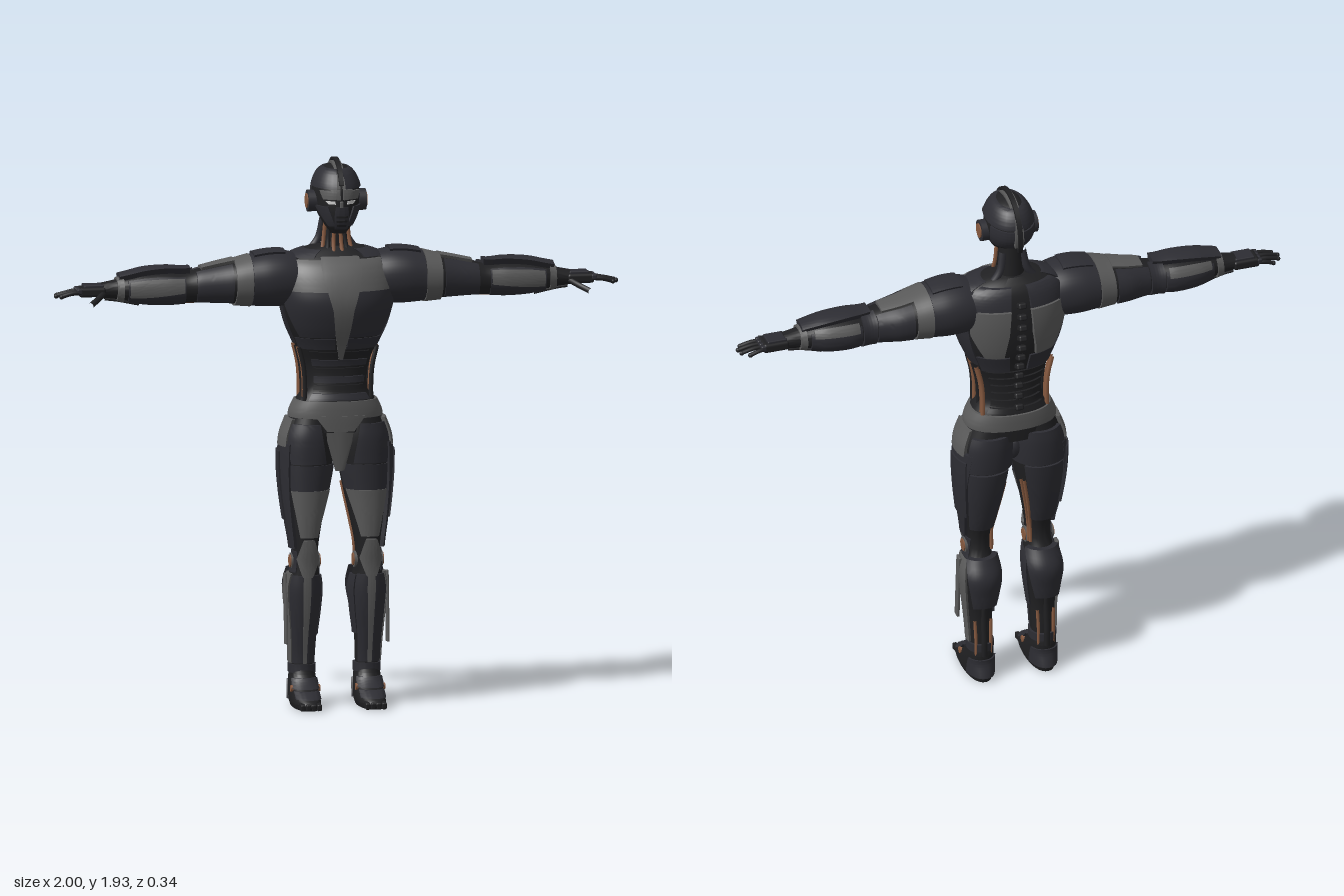
import * as THREE from 'three';
import { toCreasedNormals } from 'three/addons/utils/BufferGeometryUtils.js';
import { RoundedBoxGeometry } from 'three/addons/geometries/RoundedBoxGeometry.js';

const V = (x, y, z) => new THREE.Vector3(x, y, z);
const material = (name, color) => Object.assign(new THREE.MeshStandardMaterial({ color }), { name });

// Cross-sections: [position on axis, centre a, centre z, radius a, radius z]
const TORSO = { axis: 'y', n: 2.3, s: [
  [0.97, 0, -.005, .15, .1], [1.03, 0, -.005, .158, .102], [1.08, 0, -.005, .138, .1], [1.12, 0, -.005, .112, .09],
  [1.2, 0, -.005, .116, .088], [1.27, 0, 0, .142, .105], [1.35, 0, .006, .176, .132], [1.43, 0, .01, .195, .146],
  [1.5, 0, .004, .198, .139], [1.56, 0, -.006, .185, .118], [1.595, 0, -.018, .15, .088], [1.62, 0, -.02, .075, .055]] };
const ARM = { axis: 'x', n: 2.2, s: [
  [.1, 1.5, 0, .08, .09], [.18, 1.508, 0, .092, .106], [.24, 1.508, 0, .093, .11], [.3, 1.505, 0, .086, .104],
  [.36, 1.5, 0, .076, .096], [.42, 1.495, -.003, .068, .086], [.48, 1.49, 0, .06, .072], [.53, 1.485, 0, .054, .064],
  [.6, 1.485, -.005, .058, .07], [.68, 1.485, -.005, .054, .063], [.74, 1.485, 0, .042, .048],
  [.78, 1.485, 0, .034, .038], [.83, 1.483, 0, .026, .034]] };
const LEG = { axis: 'y', n: 2.2, s: [
  [.1, .115, -.022, .04, .045], [.16, .115, -.022, .041, .046], [.25, .115, -.012, .046, .052], [.34, .114, -.01, .056, .068],
  [.42, .114, -.008, .061, .077], [.5, .112, .015, .045, .058], [.56, .111, .02, .044, .06], [.65, .11, .01, .058, .076],
  [.75, .106, 0, .075, .09], [.85, .1, -.005, .088, .1], [.95, .094, -.005, .09, .104], [1.02, .085, -.005, .075, .095]] };
const HEAD = { axis: 'y', n: 2.1, s: [
  [1.672, 0, .06, .026, .03], [1.7, 0, .05, .048, .058], [1.735, 0, .026, .066, .092], [1.78, 0, .008, .08, .112],
  [1.83, 0, .003, .08, .113], [1.87, 0, 0, .066, .096], [1.895, 0, 0, .045, .07], [1.907, 0, 0, .015, .03]] };
const FOOT = { axis: 'y', n: 2.3, s: [
  [0, .115, .035, .044, .122], [.018, .115, .035, .05, .129], [.036, .115, .026, .051, .115], [.07, .115, 0, .05, .078],
  [.1, .115, -.018, .047, .06], [.14, .115, -.022, .042, .048]] };

// Smooth interpolation of a body's cross-section at position t
function section({ s }, t) {
  let i = 0;
  while (i < s.length - 2 && t > s[i + 1][0]) i++;
  const a = s[i], b = s[i + 1], h = b[0] - a[0], u = (t - a[0]) / h;
  const slope = (j, k) => {
    const p = s[Math.max(j - 1, 0)], q = s[Math.min(j + 1, s.length - 1)];
    return (q[k] - p[k]) / (q[0] - p[0]) * h;
  };
  return [1, 2, 3, 4].map(k => a[k] * (1 + 2 * u) * (1 - u) ** 2 + slope(i, k) * u * (1 - u) ** 2
    + b[k] * u * u * (3 - 2 * u) + slope(i + 1, k) * u * u * (u - 1));
}

// Point on a body. Angles on y bodies: 0 left, 90 front. On x bodies: 0 front, 90 top.
function surf(body, t, deg, off = 0, scale = 1) {
  const [c, cz, r, rz] = section(body, t), a = deg * Math.PI / 180;
  const p = v => Math.sign(v) * Math.abs(v) ** (2 / body.n);
  const co = p(Math.cos(a)) * scale, si = p(Math.sin(a)) * scale;
  return body.axis === 'y' ? V(c + (r + off) * co, t, cz + (rz + off) * si) : V(t, c + (r + off) * si, cz + (rz + off) * co);
}

function grid(rows, cols, point) {
  const pos = [], idx = [];
  for (let j = 0; j < rows; j++) for (let i = 0; i < cols; i++) {
    pos.push(...point(i, j).toArray());
    if (i < cols - 1 && j < rows - 1) {
      const k = j * cols + i;
      idx.push(k, k + cols, k + 1, k + 1, k + cols, k + cols + 1);
    }
  }
  const g = new THREE.BufferGeometry();
  g.setAttribute('position', new THREE.Float32BufferAttribute(pos, 3));
  g.setIndex(idx);
  return toCreasedNormals(g, 0.6);
}

// Closed body or band between two positions
function limb(body, t0 = body.s[0][0], t1 = body.s.at(-1)[0], off = 0, rows = 40) {
  return grid(rows + 3, 41, (i, j) => {
    const v = THREE.MathUtils.clamp((j - 1) / rows, 0, 1);
    return surf(body, t0 + (t1 - t0) * v, i * 9, off, j === 0 || j === rows + 2 ? 0 : 1);
  });
}

// Raised armour panel; each angle may be a list spread from start to end
function plate(body, t0, t1, a0, a1, off = .008) {
  const n = 14;
  const at = (a, v) => {
    if (!Array.isArray(a)) return a;
    const k = Math.min(Math.floor(v * (a.length - 1)), a.length - 2);
    return a[k] + (a[k + 1] - a[k]) * (v * (a.length - 1) - k);
  };
  return grid(n + 3, n + 3, (i, j) => {
    const f = k => THREE.MathUtils.clamp((k - 1) / n, 0, 1), v = f(j);
    const edge = i === 0 || j === 0 || i === n + 2 || j === n + 2;
    return surf(body, t0 + (t1 - t0) * v, at(a0, v) + (at(a1, v) - at(a0, v)) * f(i), edge ? -.004 : off);
  });
}

const tube = (pts, r) => new THREE.TubeGeometry(new THREE.CatmullRomCurve3(pts), 16, r, 8);
const line = (body, t0, t1, deg, off, r) =>
  tube([0, .25, .5, .75, 1].map(u => surf(body, t0 + (t1 - t0) * u, deg, off)), r);
const box = (w, h, d, x, y, z, rx = 0) =>
  new RoundedBoxGeometry(w, h, d, 2, Math.min(w, h, d) * .3).rotateX(rx).translate(x, y, z);
const disc = (r, h, x, y, z) => new THREE.CylinderGeometry(r, r, h, 24).rotateZ(Math.PI / 2).translate(x, y, z);

function mirrored(geo) {
  const g = geo.index ? geo.toNonIndexed() : geo.clone();
  g.scale(-1, 1, 1);
  for (const { array, itemSize: n } of Object.values(g.attributes))
    for (let i = 0; i < array.length; i += 3 * n)
      for (let k = 0; k < n; k++) [array[i + k], array[i + n + k]] = [array[i + n + k], array[i + k]];
  return g;
}

export function createModel() {
  const root = new THREE.Group();
  root.name = 'armouredRobot';
  const dark = material('darkArmour', 0x2d2d33), black = material('blackFrame', 0x202022);
  const grey = material('greyArmour', 0x5a5a5a), copper = material('copper', 0x875a40), light = material('eyeLight', 0xd0d0d0);
  const add = (name, mat, geo) => {
    const m = new THREE.Mesh(geo, mat);
    m.name = name;
    root.add(m);
  };
  const pair = (name, mat, geo) => {
    add(name + 'Left', mat, geo);
    add(name + 'Right', mat, mirrored(geo));
  };

  // Torso
  add('torso', black, limb(TORSO));
  add('sternum', grey, plate(TORSO, 1.23, 1.59, [88, 84, 82, 76, 70], [92, 96, 98, 104, 110], .014));
  pair('upperChest', grey, plate(TORSO, 1.475, 1.58, [30, 36], 90, .01));
  pair('pectoral', dark, plate(TORSO, 1.31, 1.475, [35, 12], [84, 82], .009));
  pair('lowerChest', dark, plate(TORSO, 1.265, 1.305, 20, 84, .006));
  pair('flank', dark, plate(TORSO, 1.28, 1.45, -32, 10, .006));
  pair('shoulderBlade', grey, plate(TORSO, 1.33, 1.52, [-74, -80, -82], [-50, -36, -36], .012));
  pair('lowerBack', dark, plate(TORSO, 1.26, 1.325, -80, -35, .008));
  pair('upperBack', dark, plate(TORSO, 1.525, 1.6, -82, -30, .01));
  pair('collar', dark, plate(TORSO, 1.585, 1.61, -25, 62, .008));
  for (let i = 0; i < 6; i++) {
    const y = 1.085 + i * .03;
    add('abdomenRib', i % 2 ? black : dark, plate(TORSO, y, y + .022, 44, 136, .01));
    add('backRib', black, plate(TORSO, y, y + .022, 222, 318, .008));
  }
  for (const [z, mat] of [[.05, black], [.028, copper], [-.012, black], [-.05, copper], [-.066, copper]])
    pair('waistCable', mat, tube([V(.118, 1.07, z), V(.117, 1.13, z), V(.122, 1.2, z), V(.138, 1.27, z)], .008));
  for (let i = 0; i < 11; i++) {
    const y = 1.11 + i * .043;
    add('spineFin', black, box(.03, .022, .045, 0, y, surf(TORSO, y, 270).z - .007, .4));
  }

  // Pelvis
  add('belt', grey, limb(TORSO, 1.02, 1.08, .008, 8));
  add('groinPlate', grey, plate(TORSO, .975, 1.03, [76, 62], [104, 118], .012));
  add('groin', dark, new THREE.SphereGeometry(1, 20, 14).scale(.05, .075, .085).translate(0, .93, 0));
  add('groinTip', grey, new THREE.CylinderGeometry(.06, .016, .16, 4, 1).scale(1, 1, .3).translate(0, .915, .085));

  // Legs
  pair('leg', black, limb(LEG));
  pair('hipPlate', dark, plate(LEG, .86, 1.0, [45, 20], [120, 100], .008));
  pair('upperThigh', dark, plate(LEG, .765, .855, 40, 165, .005));
  pair('lowerThigh', grey, plate(LEG, .6, .765, [62, 42], [125, 155], .008));
  pair('outerThigh', dark, plate(LEG, .56, .93, [-20, -50], [38, 42], .014));
  pair('thighGuard', dark, plate(LEG, .66, .9, -38, 12, .02));
  pair('hipSide', grey, plate(LEG, .92, 1.015, -30, 32, .015));
  pair('hamstring', dark, plate(LEG, .6, .85, 225, 320, .009));
  pair('buttock', dark, plate(LEG, .86, .995, 195, 320, .013));
  pair('knee', grey, plate(LEG, .46, .592, [78, 50, 74], [102, 130, 106], .018));
  pair('kneeHousing', dark, plate(LEG, .475, .55, [-30, -40], [45, 40], .004));
  pair('kneeHingeRing', grey, disc(.029, .1, .112, .512, .015));
  pair('kneeHinge', copper, disc(.022, .108, .112, .512, .015));
  pair('shin', dark, plate(LEG, .15, .465, 36, 140, .008));
  pair('shinStrip', grey, plate(LEG, .15, .465, [84, 80], [96, 100], .014));
  pair('outerShin', grey, plate(LEG, .15, .47, [-22, -28], [32, 30], .009));
  pair('shinFin', grey, box(.01, .25, .03, .18, .345, .02, -.08));
  pair('calf', dark, plate(LEG, .3, .485, [235, 205], [305, 325], .02));
  pair('innerCalf', dark, plate(LEG, .25, .46, 145, 200, .007));
  for (const a of [205, 216]) pair('thighCable', copper, line(LEG, .5, .78, a, .003, .006));
  for (const a of [235, 305]) pair('ankleCable', copper, line(LEG, .1, .24, a, .004, .006));
  pair('heelTendon', black, line(LEG, .1, .32, 270, .008, .011));

  // Feet
  pair('foot', black, limb(FOOT));
  pair('instep', dark, plate(FOOT, .066, .1, 35, 145, .008));
  pair('toeCap', dark, plate(FOOT, .036, .06, 40, 140, .006));
  pair('heel', dark, plate(FOOT, .02, .085, 205, 335, .006));
  pair('footHinge', copper, disc(.012, .104, .115, .066, .045));
  pair('ankleCuff', dark, limb(LEG, .115, .145, .008, 6));
  for (const x of [.086, .105, .125, .144]) pair('toe', black, box(.017, .024, .05, x, .015, .14, .12));

  // Arms
  pair('arm', black, limb(ARM));
  pair('shoulderCap', dark, limb(ARM, .15, .306, .004, 14));
  pair('shoulderTop', dark, plate(ARM, .185, .295, 68, 112, .012));
  pair('armBand', grey, limb(ARM, .308, .365, .007, 8));
  pair('biceps', dark, plate(ARM, .375, .5, -50, 60, .007));
  pair('triceps', dark, plate(ARM, .375, .5, 120, 230, .007));
  pair('upperArmTop', grey, plate(ARM, .365, .48, 70, 115, .011));
  pair('elbow', dark, plate(ARM, .505, .555, 100, 250, .01));
  pair('forearmFront', dark, plate(ARM, .54, .74, -60, 42, .006));
  pair('forearmBack', dark, plate(ARM, .56, .74, 142, 240, .006));
  pair('forearmTop', dark, plate(ARM, .52, .77, [70, 55], [110, 125], .022));
  pair('forearmPanel', grey, plate(ARM, .545, .735, [-8, -26], [34, 30], .011));
  pair('forearmBackPanel', grey, plate(ARM, .57, .73, 132, 165, .011));
  pair('wristCuff', grey, limb(ARM, .755, .778, .008, 6));
  pair('armCable', copper, line(ARM, .38, .76, 258, -.001, .006));
  for (const a of [285, 245]) pair('wristCable', black, line(ARM, .7, .82, a, .004, .005));

  // Hands
  pair('palm', black, box(.095, .034, .076, .865, 1.48, 0));
  pair('handBack', dark, box(.07, .012, .06, .86, 1.499, 0));
  [[-.03, .05], [-.01, .075], [.011, .08], [.031, .065]].forEach(([z, len]) => {
    pair('knuckle', dark, box(.02, .02, .017, .912, 1.484, z));
    pair('finger', black, tube([V(.9, 1.48, z), V(.9 + len * .6, 1.478, z * 1.1), V(.915 + len, 1.468, z * 1.15)], .0075));
    pair('fingertip', black, new THREE.SphereGeometry(.0085, 10, 8).translate(.912 + len, 1.468, z * 1.15));
  });
  pair('thumb', black, tube([V(.825, 1.475, .025), V(.85, 1.462, .062), V(.885, 1.445, .1)], .0105));

  // Neck
  add('neck', black, new THREE.CylinderGeometry(.04, .05, .16, 24).translate(0, 1.65, -.02));
  for (const [x, mat] of [[.013, copper], [.03, black], [.046, copper]])
    pair('neckCable', mat, tube([V(x * .85, 1.71, .045 - x * .6), V(x, 1.64, .046 - x * .6), V(x * 1.25, 1.575, .07 - x * .7)], .007));
  pair('neckStrut', dark, tube([V(.035, 1.71, -.04), V(.05, 1.64, -.05), V(.085, 1.59, -.05)], .014));

  // Head
  add('head', black, limb(HEAD));
  pair('skullPlate', dark, plate(HEAD, 1.832, 1.897, -82, 80, .006));
  pair('backSkull', dark, plate(HEAD, 1.745, 1.825, -82, -20, .006));
  pair('brow', grey, plate(HEAD, 1.796, 1.832, [80, 66], [87, 87], .014));
  pair('browRidge', grey, plate(HEAD, 1.796, 1.826, [48, 38], [79, 72], .009));
  pair('eye', light, plate(HEAD, 1.779, 1.79, [60, 52], [77, 75], .004));
  pair('cheek', dark, plate(HEAD, 1.7, 1.77, [40, 15], [68, 58], .007));
  add('mask', dark, plate(HEAD, 1.69, 1.768, [65, 76], [115, 104], .01));
  add('noseRidge', grey, box(.012, .04, .012, 0, 1.77, .122));
  for (const y of [1.7, 1.716, 1.732]) add('maskVent', black, plate(HEAD, y, y + .007, 76, 104, .014));
  pair('earRing', dark, disc(.038, .034, .086, 1.78, .015));
  pair('earDisc', copper, disc(.026, .042, .086, 1.78, .015));

  // Crest over the skull: grey base with a dark raised rail
  const crest = (inner, outer, width, from, to) => {
    const s = new THREE.Shape();
    s.absarc(0, 0, outer, from, to, false);
    s.absarc(0, 0, inner, to, from, true);
    return new THREE.ExtrudeGeometry(s, { depth: width, bevelEnabled: false, curveSegments: 40 })
      .translate(0, 0, -width / 2).rotateY(-Math.PI / 2).translate(0, 1.795, 0);
  };
  add('crestBase', grey, crest(.09, .121, .032, .32, 3.4));
  add('crestRail', black, crest(.124, .134, .016, .4, 3.5));
  for (const a of [.42, 1.2, 2, 2.8, 3.46]) add('crestMount', black, crest(.11, .126, .012, a, a + .04));
  return root;
}
